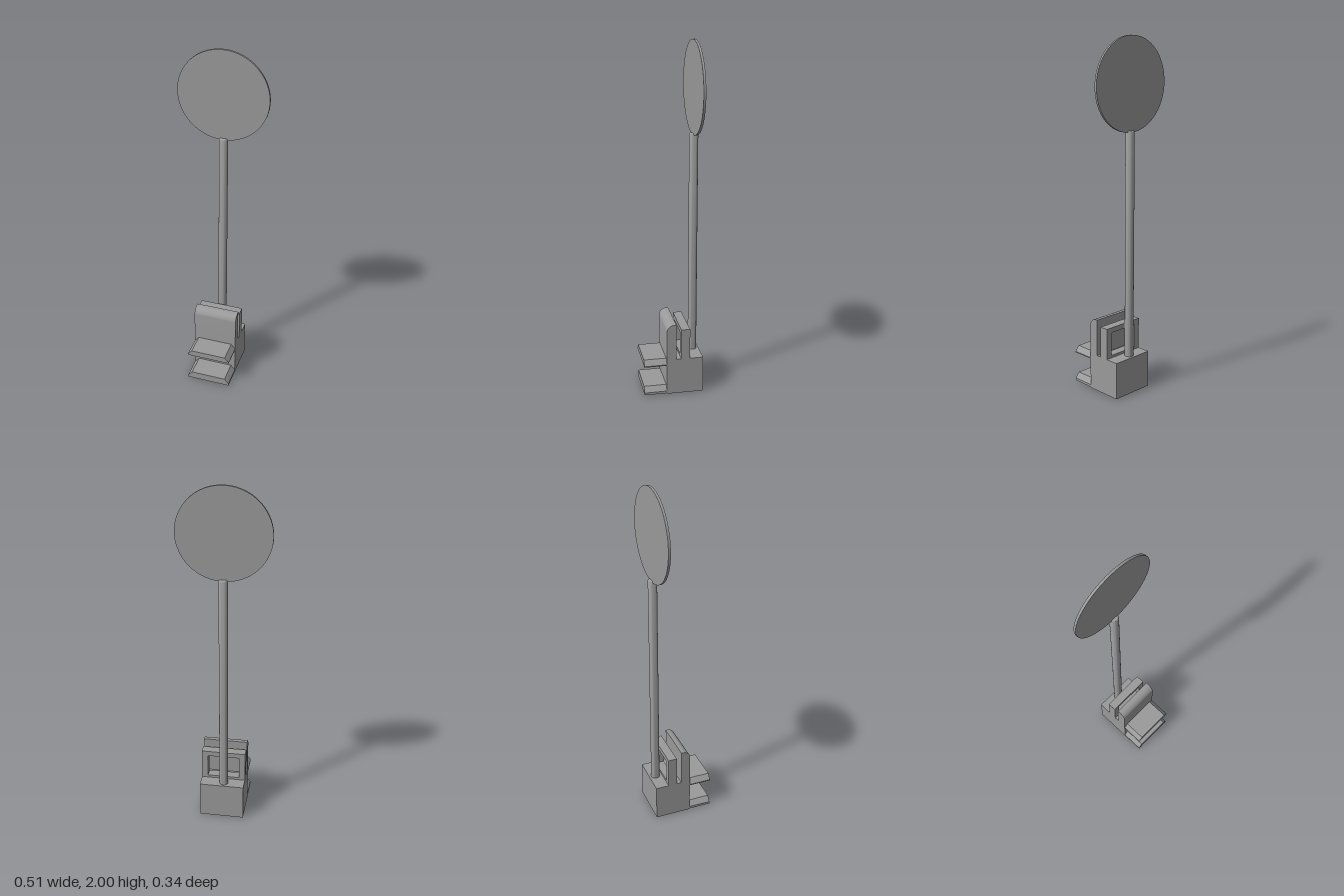
import * as THREE from 'three';
import { toCreasedNormals } from 'three/addons/utils/BufferGeometryUtils.js';

export function createModel() {
  const model = new THREE.Group();
  const material = new THREE.MeshStandardMaterial({ color: 0x9a9a9a });
  const CX = 0.011, WIDTH = 0.256; // clip centre and width along x

  const add = (name, geometry, x = 0, y = 0, z = 0) => {
    const mesh = new THREE.Mesh(geometry, material);
    mesh.name = name;
    mesh.position.set(x, y, z);
    model.add(mesh);
    return mesh;
  };
  const points = list => list.map(p => new THREE.Vector2(...p));
  const extrude = (shape, depth) => toCreasedNormals(
    new THREE.ExtrudeGeometry(shape, { depth, bevelEnabled: false, curveSegments: 12 }), 0.5);

  // Base block and upright front plate share one side profile, drawn as (z, y)
  const side = new THREE.Shape();
  side.moveTo(-0.171, 0);
  side.lineTo(0.041, 0);
  side.lineTo(0.041, 0.384);
  side.absarc(-0.004, 0.384, 0.045, 0, Math.PI / 2, false);
  side.lineTo(-0.014, 0.429);
  side.lineTo(-0.014, 0.215);
  side.lineTo(-0.171, 0.215);
  side.closePath();
  const body = add('baseAndFrontPlate', extrude(side, WIDTH), CX + WIDTH / 2);
  body.rotation.y = -Math.PI / 2;

  // Rear plate with a rectangular window
  const h = WIDTH / 2, wh = h - 0.036;
  const frame = new THREE.Shape(points([[-h, 0.21], [h, 0.21], [h, 0.396], [-h, 0.396]]));
  frame.holes.push(new THREE.Path(points([[-wh, 0.23], [-wh, 0.366], [wh, 0.366], [wh, 0.23]])));
  add('rearFrame', extrude(frame, 0.051), CX, 0, -0.094);

  // Two front prongs with chamfered upper side edges
  const addProng = (name, y, height, lip) => {
    const t = h - 0.025;
    const section = new THREE.Shape(points(
      [[-h, 0], [h, 0], [h, lip], [t, height], [-t, height], [-h, lip]]));
    add(name, extrude(section, 0.131), CX, y, 0.04);
  };
  addProng('upperProng', 0.18, 0.036, 0.006);
  addProng('lowerProng', 0.004, 0.044, 0.014);

  // Pole with a softened top edge
  const profile = [new THREE.Vector2(0.025, 0.21)];
  for (let i = 0; i <= 5; i++) {
    const a = i / 5 * Math.PI / 2;
    profile.push(new THREE.Vector2(0.016 + 0.009 * Math.cos(a), 1.491 + 0.009 * Math.sin(a)));
  }
  profile.push(new THREE.Vector2(0, 1.5));
  add('pole', toCreasedNormals(new THREE.LatheGeometry(profile, 32), 0.6), 0.003, 0, -0.134);

  // Thin round disc on top of the pole
  const disc = new THREE.CylinderGeometry(0.255, 0.255, 0.013, 72);
  disc.rotateX(Math.PI / 2);
  add('disc', disc, 0, 1.745, -0.135);

  return model;
}
